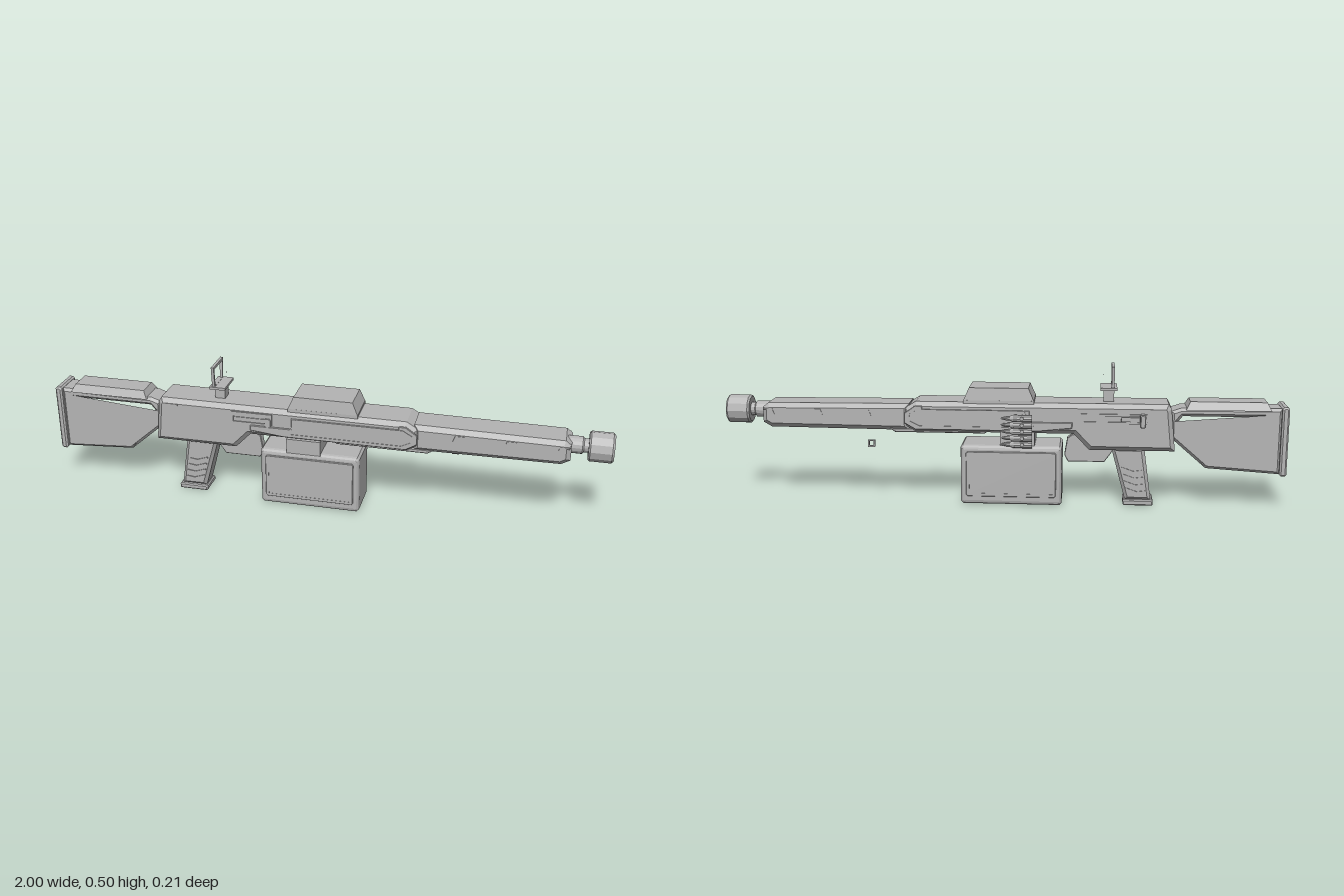
import * as THREE from 'three';

const ZC = 0.016; // centre plane of the body

export function createModel() {
  const model = new THREE.Group();
  const grey = new THREE.MeshStandardMaterial({ color: 0xb4b4b4 });
  grey.name = 'grey metal';

  const add = (name, geo, x = 0, y = 0, z = 0) => {
    const m = new THREE.Mesh(geo, grey);
    m.name = name;
    m.position.set(x, y, z);
    model.add(m);
    return m;
  };
  const box = (name, x0, x1, y0, y1, z0, z1) =>
    add(name, new THREE.BoxGeometry(x1 - x0, y1 - y0, z1 - z0), (x0 + x1) / 2, (y0 + y1) / 2, (z0 + z1) / 2);
  const vecs = (pts) => pts.map((p) => new THREE.Vector2(p[0], p[1]));
  // side profile extruded from z0 to z1 with chamfered edges
  const slab = (name, pts, z0, z1, bevel = 0, hole = null, segments = 1) => {
    const shape = new THREE.Shape(vecs(pts));
    if (hole) shape.holes.push(new THREE.Path(vecs(hole)));
    const geo = new THREE.ExtrudeGeometry(shape, {
      depth: z1 - z0 - 2 * bevel, bevelEnabled: bevel > 0, bevelThickness: bevel,
      bevelSize: bevel, bevelOffset: -bevel, bevelSegments: segments, curveSegments: 6,
    });
    return add(name, geo, 0, 0, z0 + bevel);
  };
  const rect = (x0, x1, y0, y1) => [[x0, y0], [x1, y0], [x1, y1], [x0, y1]];
  // rectangle with cut corners
  const cutRect = (x0, x1, y0, y1, c) => [[x0 + c, y0], [x1 - c, y0], [x1, y0 + c], [x1, y1 - c],
    [x1 - c, y1], [x0 + c, y1], [x0, y1 - c], [x0, y0 + c]];
  // thin relief repeated on both flanks at a given distance from the centre plane
  const bothSides = (name, pts, half, thick, bevel = 0, hole = null) => {
    slab(name + 'Left', pts, ZC + half, ZC + half + thick, bevel, hole);
    slab(name + 'Right', pts, ZC - half - thick, ZC - half, bevel, hole);
  };
  // frustum with a rectangular base, narrowed at the top
  const wedge = (name, x0, x1, y0, y1, halfZ, inX, inZ) => {
    const geo = new THREE.BoxGeometry(x1 - x0, y1 - y0, halfZ * 2).toNonIndexed();
    const p = geo.attributes.position;
    for (let i = 0; i < p.count; i++) {
      if (p.getY(i) > 0) {
        p.setX(i, p.getX(i) - Math.sign(p.getX(i)) * inX);
        p.setZ(i, p.getZ(i) - Math.sign(p.getZ(i)) * inZ);
      }
    }
    geo.computeVertexNormals();
    return add(name, geo, (x0 + x1) / 2, (y0 + y1) / 2, ZC);
  };
  // turned part lying along x
  const turned = (name, pts, sides, y, z) => {
    const geo = new THREE.LatheGeometry(vecs(pts), sides).toNonIndexed();
    geo.computeVertexNormals();
    geo.rotateZ(-Math.PI / 2);
    return add(name, geo, 0, y, z);
  };

  // Stock
  slab('buttPlate', cutRect(-1, -0.975, 0.12, 0.367, 0.006), ZC - 0.06, ZC + 0.06, 0.006);
  slab('stock',
    [[-0.978, 0.125], [-0.72, 0.142], [-0.595, 0.25], [-0.595, 0.345], [-0.63, 0.357], [-0.978, 0.36]],
    ZC - 0.05, ZC + 0.05, 0.01, [[-0.93, 0.147], [-0.715, 0.165], [-0.62, 0.31], [-0.635, 0.328], [-0.93, 0.328]]);
  wedge('cheekPad', -0.94, -0.645, 0.352, 0.38, 0.055, 0.015, 0.015);

  // Receiver
  slab('receiver',
    [[-0.61, 0.205], [-0.31, 0.205], [-0.255, 0.262], [0.31, 0.262], [0.345, 0.285], [0.345, 0.345],
      [0.305, 0.37], [-0.585, 0.372], [-0.595, 0.355]],
    ZC - 0.074, ZC + 0.074, 0.016);
  bothSides('sidePanel',
    [[-0.13, 0.272], [0.305, 0.272], [0.345, 0.295], [0.345, 0.33], [0.305, 0.358], [0.28, 0.358],
      [0.28, 0.345], [-0.1, 0.345], [-0.1, 0.305], [-0.25, 0.305], [-0.25, 0.285]], 0.072, 0.007, 0.002);
  bothSides('panelRim', [[-0.12, 0.281], [0.295, 0.281], [0.33, 0.3], [0.33, 0.325], [0.295, 0.345], [-0.08, 0.345]],
    0.078, 0.003, 0, [[-0.11, 0.286], [0.29, 0.286], [0.325, 0.303], [0.325, 0.322], [0.29, 0.34], [-0.08, 0.34]]);
  bothSides('rearLine', rect(-0.57, -0.52, 0.35, 0.356), 0.072, 0.004);

  // Ejection port and bolt on the left flank
  slab('ejectionPort', rect(-0.32, -0.17, 0.308, 0.352), ZC + 0.072, ZC + 0.078, 0,
    rect(-0.312, -0.178, 0.315, 0.345));
  box('bolt', -0.31, -0.18, 0.318, 0.332, ZC + 0.07, ZC + 0.077);
  box('boltKnob', -0.195, -0.175, 0.305, 0.335, ZC + 0.072, ZC + 0.081);

  // Charging handle on the right flank
  slab('handleSlot', rect(-0.51, -0.28, 0.302, 0.338), ZC - 0.079, ZC - 0.072, 0, rect(-0.5, -0.29, 0.31, 0.33));
  slab('chargingHandle', cutRect(-0.505, -0.485, 0.295, 0.34, 0.004), -0.088, -0.055, 0.003);
  box('handleArm', -0.485, -0.42, 0.312, 0.328, -0.066, -0.055);

  // Handguard and its small vents
  slab('handguard',
    [[0.33, 0.264], [0.83, 0.268], [0.86, 0.285], [0.86, 0.34], [0.84, 0.356], [0.33, 0.36]],
    ZC - 0.067, ZC + 0.067, 0.016);
  slab('lowerRail', [[0.06, 0.257], [0.38, 0.257], [0.4, 0.27], [0.04, 0.27]], ZC - 0.06, ZC + 0.06, 0.003);
  for (const x of [0.465, 0.64, 0.815]) {
    bothSides('vent',
      [[x, 0.318], [x + 0.005, 0.318], [x + 0.011, 0.333], [x + 0.04, 0.333], [x + 0.04, 0.339], [x + 0.008, 0.339]],
      0.066, 0.003);
  }

  // Barrel and muzzle
  turned('barrel', [[0.03, 0.84], [0.03, 0.895], [0.024, 0.9], [0.024, 0.925]], 16, 0.322, ZC);
  turned('muzzle', [[0.02, 0.915], [0.046, 0.915], [0.052, 0.921], [0.052, 0.993], [0.046, 1], [0.019, 1],
    [0.019, 0.94], [0, 0.94]], 12, 0.322, ZC);

  // Top cover
  box('coverBase', -0.115, 0.135, 0.366, 0.378, ZC - 0.067, ZC + 0.067);
  wedge('topCover', -0.115, 0.135, 0.376, 0.422, 0.067, 0.02, 0.006);

  // Folding sight
  box('sightPost', -0.395, -0.358, 0.368, 0.416, ZC - 0.02, ZC + 0.02);
  box('sightPlate', -0.405, -0.347, 0.416, 0.425, ZC - 0.051, ZC + 0.051);
  const frame = new THREE.Shape(vecs([[-0.047, 0.424], [0.047, 0.424], [0.053, 0.5], [-0.053, 0.5]]));
  frame.holes.push(new THREE.Path(vecs([[-0.039, 0.42], [0.039, 0.42], [0.044, 0.49], [-0.044, 0.49]])
    .map((v) => v.setY(Math.max(v.y, 0.426)))));
  const sight = add('sightFrame', new THREE.ExtrudeGeometry(frame, { depth: 0.01, bevelEnabled: false }), -0.395, 0, ZC);
  sight.rotation.y = Math.PI / 2;
  box('sightBead', -0.357, -0.354, 0.464, 0.467, ZC - 0.0015, ZC + 0.0015);

  // Grip
  slab('grip', [[-0.532, 0.018], [-0.44, 0.018], [-0.388, 0.21], [-0.505, 0.21]], ZC - 0.042, ZC + 0.042, 0.012);
  slab('gripBase', cutRect(-0.54, -0.433, 0, 0.02, 0.004), ZC - 0.046, ZC + 0.046, 0.004);
  for (let i = 0; i < 4; i++) {
    const y = 0.045 + i * 0.025, x = -0.512 + i * 0.005;
    bothSides('gripRidge', [[x, y + 0.004], [x + 0.03, y], [x + 0.07, y + 0.014], [x + 0.07, y + 0.02],
      [x + 0.03, y + 0.006], [x, y + 0.01]], 0.041, 0.004);
  }

  // Trigger and guard
  slab('triggerGuard',
    [[-0.4, 0.2], [-0.365, 0.15], [-0.235, 0.15], [-0.222, 0.175], [-0.232, 0.236], [-0.25, 0.25], [-0.31, 0.25], [-0.33, 0.21]],
    ZC - 0.015, ZC + 0.015, 0.002,
    [[-0.387, 0.2], [-0.358, 0.16], [-0.241, 0.16], [-0.233, 0.177], [-0.241, 0.232], [-0.253, 0.24], [-0.302, 0.24], [-0.325, 0.2]]);
  slab('trigger', [[-0.33, 0.21], [-0.312, 0.17], [-0.3, 0.165], [-0.308, 0.19], [-0.305, 0.215]], ZC - 0.008, ZC + 0.008);

  // Ammunition box
  slab('magazine', cutRect(-0.215, 0.145, 0.002, 0.218, 0.008), ZC - 0.082, ZC + 0.082, 0.016, null, 3);
  bothSides('magazinePanel', cutRect(-0.195, 0.125, 0.033, 0.197, 0.006), 0.08, 0.006, 0.002);
  bothSides('magazineRim', cutRect(-0.193, 0.123, 0.035, 0.195, 0.006), 0.085, 0.002, 0, rect(-0.183, 0.113, 0.045, 0.185));
  box('feedNeck', -0.118, 0.005, 0.212, 0.266, -0.052, 0.095);

  // Belt of rounds with links
  const round = [[0, -0.11], [0.013, -0.11], [0.013, -0.045], [0.008, -0.033], [0.007, -0.018], [0.004, -0.005], [0, 0]];
  for (let i = 0; i < 5; i++) {
    const y = 0.226 + i * 0.0243, z = -0.07 - i * 0.0042;
    turned('round', round, 10, y, z);
    const link = add('link', new THREE.CylinderGeometry(0.007, 0.007, 0.045, 8), -0.075, y + 0.002, z + 0.004);
    link.rotation.x = Math.PI / 2;
  }

  // Small square ring beneath the handguard
  slab('slingRing', rect(0.452, 0.477, 0.204, 0.23), -0.057, -0.049, 0, rect(0.457, 0.472, 0.209, 0.225));

  return model;
}
